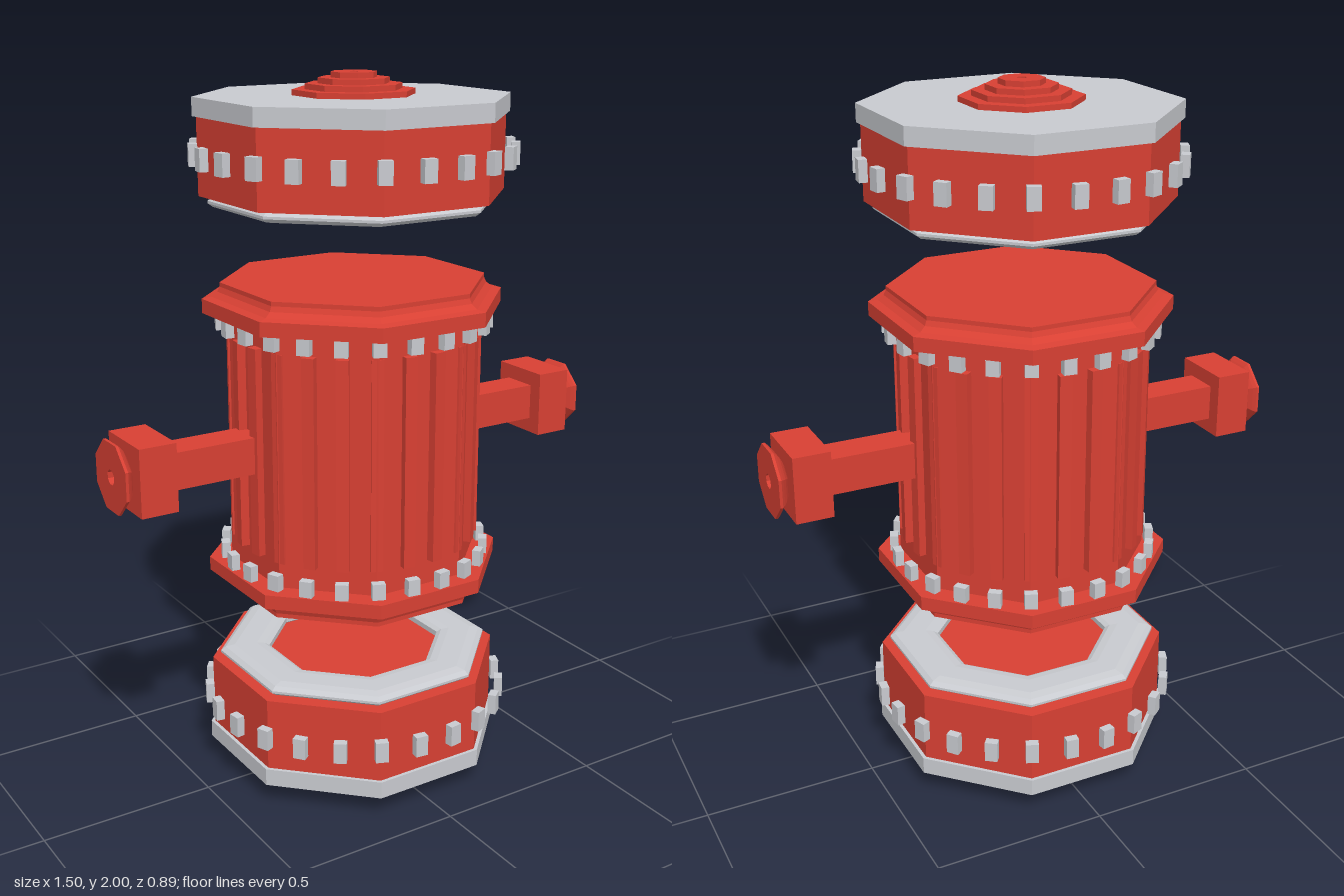
import * as THREE from 'three';

const red = new THREE.MeshStandardMaterial({ color: 0xd84033 });
red.name = 'red paint';
const grey = new THREE.MeshStandardMaterial({ color: 0xc8cacf });
grey.name = 'light grey metal';

function add(parent, name, geometry, material, x = 0, y = 0, z = 0) {
  const mesh = new THREE.Mesh(geometry, material);
  mesh.name = name;
  mesh.position.set(x, y, z);
  parent.add(mesh);
  return mesh;
}

// Eight-sided faceted solid from [apothem, y] pairs, listed bottom to top
function octagon(profile) {
  const k = 1 / Math.cos(Math.PI / 8);
  const points = profile.map(([r, y]) => new THREE.Vector2(r * k, y));
  const geometry = new THREE.LatheGeometry(points, 8, Math.PI / 8).toNonIndexed();
  geometry.computeVertexNormals();
  return geometry;
}

// 24 small blocks spaced evenly around the axis
function blockRing(parent, name, radius, y, width, height, depth, material) {
  const ring = new THREE.Group();
  ring.name = name + 'Ring';
  const geometry = new THREE.BoxGeometry(width, height, depth);
  for (let i = 0; i < 24; i++) {
    const a = ((i + 0.5) * Math.PI) / 12;
    const block = add(ring, name, geometry, material, radius * Math.sin(a), y, radius * Math.cos(a));
    block.rotation.y = a;
  }
  parent.add(ring);
}

// Floating end section: drum, plate, stepped finial, studs and seal ring
function createCap() {
  const cap = new THREE.Group();
  add(cap, 'drum', octagon([[0, 1.68], [0.39, 1.68], [0.39, 1.89], [0, 1.89]]), red);
  add(cap, 'plate', octagon([[0, 1.89], [0.4, 1.89], [0.4, 1.94], [0, 1.94]]), grey);
  add(cap, 'finial', octagon([
    [0.155, 1.94], [0.155, 1.955], [0.122, 1.955], [0.122, 1.97], [0.09, 1.97],
    [0.09, 1.985], [0.058, 1.985], [0.058, 2], [0.012, 2], [0.012, 1.94],
  ]), red);
  add(cap, 'sealRing', octagon([
    [0.235, 1.656], [0.248, 1.648], [0.27, 1.645], [0.33, 1.645], [0.355, 1.65], [0.368, 1.66],
    [0.368, 1.667], [0.355, 1.677], [0.33, 1.682], [0.25, 1.682], [0.235, 1.672], [0.235, 1.656],
  ]), grey);
  blockRing(cap, 'capStud', 0.434, 1.79, 0.036, 0.06, 0.024, grey);
  return cap;
}

// Side arm with square block and flared end
function createNozzle() {
  const nozzle = new THREE.Group();
  add(nozzle, 'arm', new THREE.BoxGeometry(0.3, 0.104, 0.104), red, 0.46, 1, 0);
  add(nozzle, 'block', new THREE.BoxGeometry(0.106, 0.19, 0.19), red, 0.657, 1, 0);
  const end = add(nozzle, 'flaredEnd', octagon([
    [0.045, 0.71], [0.06, 0.716], [0.076, 0.725], [0.087, 0.734], [0.095, 0.742],
    [0.095, 0.75], [0.02, 0.75], [0.02, 0.71],
  ]), red, 0, 1, 0);
  end.rotation.z = -Math.PI / 2;
  return nozzle;
}

export function createModel() {
  const model = new THREE.Group();
  model.name = 'hydrant';

  // Body with a flared collar at each end, symmetric about y = 1
  const collar = [
    [0.33, 0.36], [0.39, 0.36], [0.39, 0.4], [0.366, 0.405],
    [0.35, 0.418], [0.344, 0.432], [0.344, 0.444], [0, 0.444],
  ];
  const lower = [...collar].reverse().map(([r, y]) => [r, -y]);
  add(model, 'body', octagon([...lower, ...collar]), red, 0, 1, 0);
  blockRing(model, 'rib', 0.344, 1.005, 0.034, 0.59, 0.024, red);
  for (const s of [-1, 1]) {
    blockRing(model, 'collarStud', 0.375, 1 + s * 0.337, 0.036, 0.046, 0.024, grey);
  }

  const topCap = createCap();
  topCap.name = 'topCap';
  const bottomCap = createCap();
  bottomCap.name = 'bottomCap';
  bottomCap.rotation.x = Math.PI;
  bottomCap.position.y = 2;

  const leftNozzle = createNozzle();
  leftNozzle.name = 'leftNozzle';
  const rightNozzle = createNozzle();
  rightNozzle.name = 'rightNozzle';
  rightNozzle.rotation.y = Math.PI;

  model.add(topCap, bottomCap, leftNozzle, rightNozzle);
  return model;
}
